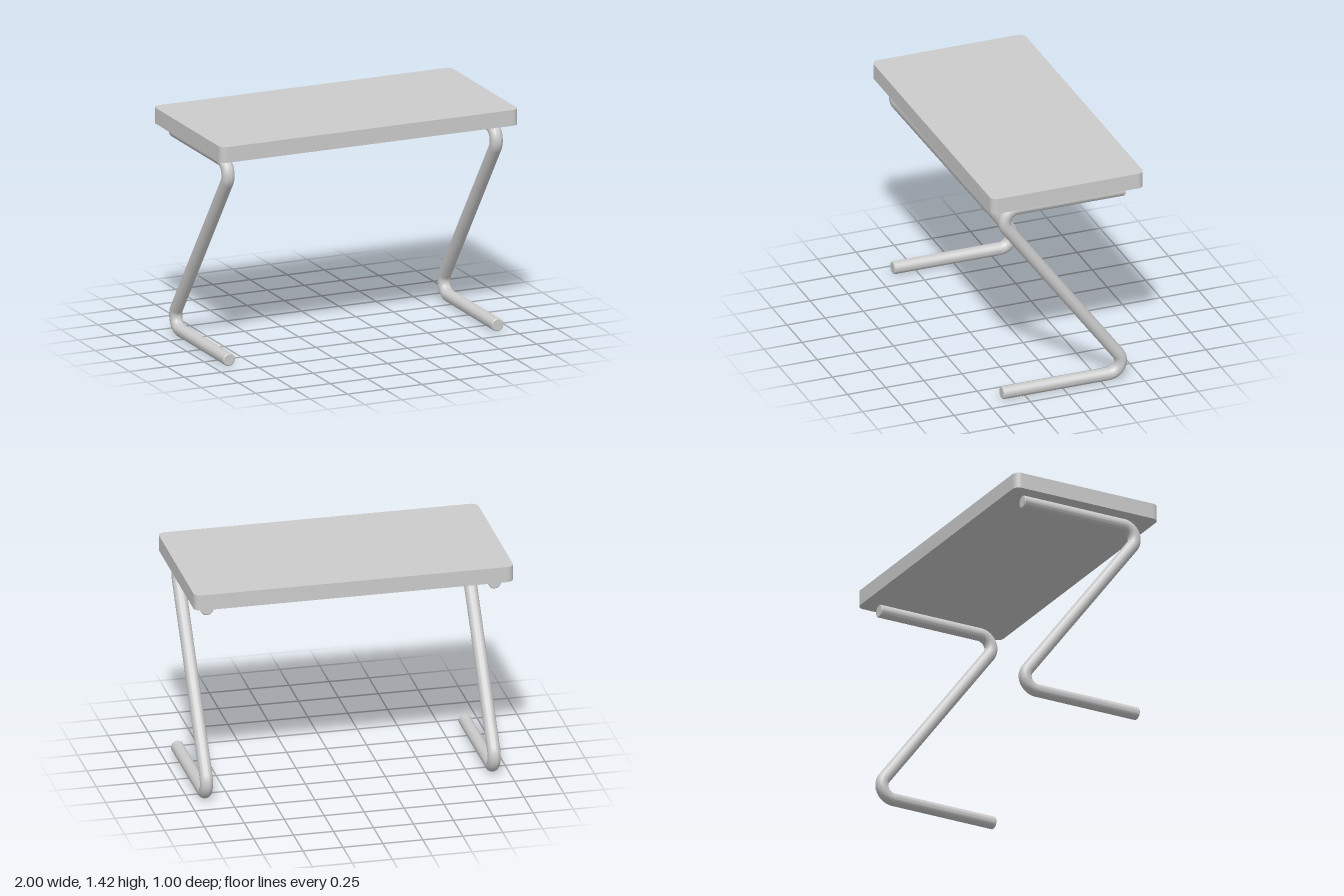
import * as THREE from 'three';
import { toCreasedNormals } from 'three/addons/utils/BufferGeometryUtils.js';

const LEG_HEIGHT = 1.325, TOP_THICKNESS = 0.1;
const TUBE = 0.04, BEND = 0.08, BEND_Z = 0.3, END_Z = 0.4, BEVEL = 0.005;

// Rounded rectangular slab, lying flat with its underside at y = 0
function slabGeometry(width, depth, height, radius) {
  const x = width / 2 - radius, y = depth / 2 - radius;
  const shape = new THREE.Shape();
  shape.absarc(x, y, radius, 0, Math.PI / 2);
  shape.absarc(-x, y, radius, Math.PI / 2, Math.PI);
  shape.absarc(-x, -y, radius, Math.PI, Math.PI * 1.5);
  shape.absarc(x, -y, radius, Math.PI * 1.5, Math.PI * 2);
  shape.closePath();
  const geo = new THREE.ExtrudeGeometry(shape, { depth: height, bevelEnabled: false, curveSegments: 10 });
  geo.rotateX(-Math.PI / 2);
  return toCreasedNormals(geo, 0.5);
}

// Z-shaped bent tube: circular sections swept along a path in the yz plane
function legGeometry(sides = 32, bendSteps = 20) {
  const mid = LEG_HEIGHT / 2;
  const y = LEG_HEIGHT - TUBE, bendY = y - BEND;
  const up = Math.PI / 2;
  // Upper half: bevelled free end, straight run, bend down to the diagonal
  const half = [
    { z: -END_Z, y, phi: up, r: 0 },
    { z: -END_Z, y, phi: up, r: TUBE - BEVEL },
    { z: -END_Z + BEVEL, y, phi: up, r: TUBE },
  ];
  // The diagonal is the crossing tangent of the two bend circles
  const rise = bendY - mid;
  const slope = Math.atan2(rise, BEND_Z) - Math.asin(BEND / Math.hypot(rise, BEND_Z));
  for (let i = 0; i <= bendSteps; i++) {
    const phi = up + (slope - Math.PI) * (i / bendSteps);
    half.push({ z: BEND_Z + BEND * Math.cos(phi), y: bendY + BEND * Math.sin(phi), phi, r: TUBE });
  }
  // Lower half repeats the upper one turned by 180 degrees
  const lower = half.map(s => ({ ...s, z: -s.z, y: LEG_HEIGHT - s.y })).reverse();
  const sections = [...half, ...lower];

  const positions = [], index = [];
  for (const s of sections) {
    for (let j = 0; j < sides; j++) {
      const t = (j / sides) * Math.PI * 2, n = s.r * Math.cos(t);
      positions.push(s.r * Math.sin(t), s.y + n * Math.sin(s.phi), s.z + n * Math.cos(s.phi));
    }
  }
  for (let i = 0; i < sections.length - 1; i++) {
    for (let j = 0; j < sides; j++) {
      const k = (j + 1) % sides;
      const a = i * sides + j, b = i * sides + k, c = a + sides, d = b + sides;
      if (sections[i].r > 0) index.push(a, c, b);
      if (sections[i + 1].r > 0) index.push(b, c, d);
    }
  }
  const geo = new THREE.BufferGeometry();
  geo.setAttribute('position', new THREE.Float32BufferAttribute(positions, 3));
  geo.setIndex(index);
  return toCreasedNormals(geo, 0.5);
}

export function createModel() {
  const model = new THREE.Group();
  model.name = 'table';
  const material = new THREE.MeshStandardMaterial({ color: 0xcccccc });

  const top = new THREE.Mesh(slabGeometry(2, 1, TOP_THICKNESS, 0.045), material);
  top.name = 'tableTop';
  top.position.y = LEG_HEIGHT;
  model.add(top);

  // One bent tube leg under each end
  const legGeo = legGeometry();
  for (const side of [1, -1]) {
    const leg = new THREE.Mesh(legGeo, material);
    leg.name = side > 0 ? 'leftLeg' : 'rightLeg';
    leg.position.x = side * 0.9;
    model.add(leg);
  }
  return model;
}
